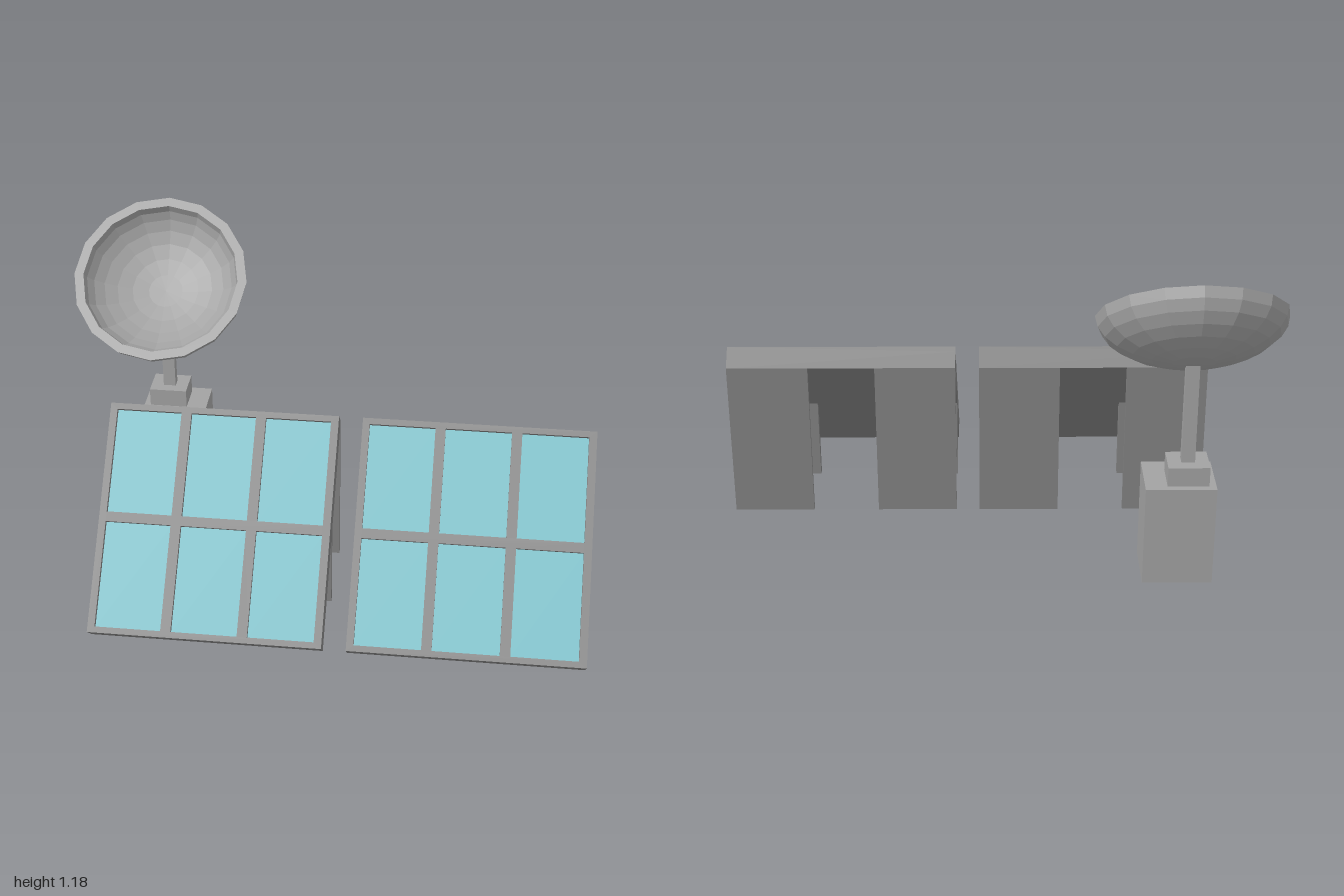
import * as THREE from 'three';

const paint = color => new THREE.MeshStandardMaterial({ color, flatShading: true });
const darkGrey = paint(0x828282);
const lightGrey = paint(0xa2a2a2);
const glass = paint(0x77bcc5);

function add(parent, name, geometry, material) {
  const mesh = new THREE.Mesh(geometry, material);
  mesh.name = name;
  parent.add(mesh);
  return mesh;
}

// Box given by its lowest and highest corner
function box(parent, name, [x0, y0, z0], [x1, y1, z1], material) {
  const geo = new THREE.BoxGeometry(x1 - x0, y1 - y0, z1 - z0);
  geo.translate((x0 + x1) / 2, (y0 + y1) / 2, (z0 + z1) / 2);
  return add(parent, name, geo, material);
}

const toPoints = list => list.map(p => new THREE.Vector2(...p));

function rectangle(Type, x0, y0, x1, y1) {
  return new Type(toPoints([[x0, y0], [x1, y0], [x1, y1], [x0, y1]]));
}

// Side outline of (z, y) points, extruded along x
function prism(parent, name, outline, x0, width, material) {
  const geo = new THREE.ExtrudeGeometry(new THREE.Shape(toPoints(outline)), { depth: width, bevelEnabled: false });
  geo.rotateY(-Math.PI / 2).translate(x0 + width, 0, 0);
  return add(parent, name, geo, material);
}

// Flat leg whose top is cut to the slope of the panel's underside
function leg(parent, name, x0, width, z0, z1) {
  const under = z => 0.59 - z;
  prism(parent, name, [[z0, 0], [z1, 0], [z1, under(z1)], [z0, under(z0)]], x0, width, darkGrey);
}

function solarPanel(x0) {
  const W = 0.848, L = 0.8485, T = 0.085, recess = 0.02, legWidth = 0.3;
  const panel = new THREE.Group();
  panel.name = 'solarPanel';

  // Sloping tray: local y runs up the slope, local z is its normal
  const tray = new THREE.Group();
  tray.name = 'panelTray';
  tray.position.set(x0, 0, 0.59);
  tray.rotation.x = -Math.PI / 4;
  panel.add(tray);
  box(tray, 'panelBack', [0, 0, 0], [W, L, T - recess], darkGrey);

  // Frame with six windows, a glass cell at the bottom of each
  const frame = rectangle(THREE.Shape, 0, 0, W, L);
  for (const x of [0.026, 0.303, 0.58]) {
    for (const y of [0.022, 0.442]) {
      const w = 0.24, h = 0.384;
      frame.holes.push(rectangle(THREE.Path, x, y, x + w, y + h));
      box(tray, 'solarCell', [x, y, T - recess - 0.005], [x + w, y + h, T - recess + 0.002], glass);
    }
  }
  const frameGeo = new THREE.ExtrudeGeometry(frame, { depth: recess, bevelEnabled: false });
  add(tray, 'panelFrame', frameGeo.translate(0, 0, T - recess), darkGrey);

  // Two tall rear legs and two short front legs
  for (const x of [x0, x0 + W - legWidth]) {
    leg(panel, 'rearLeg', x, legWidth, -0.01, 0.007);
    leg(panel, 'frontLeg', x, legWidth, 0.275, 0.305);
  }
  return panel;
}

function antenna() {
  const group = new THREE.Group();
  group.name = 'antenna';
  const cx = -0.667;

  // Equipment box, mast socket and the conduit to the panel
  box(group, 'equipmentBox', [-0.765, 0, -0.537], [-0.516, 0.378, -0.328], lightGrey);
  box(group, 'mastSocket', [cx - 0.073, 0.378, -0.512], [cx + 0.073, 0.45, -0.39], lightGrey);
  box(group, 'conduit', [-0.655, 0.008, -0.33], [-0.629, 0.034, -0.005], lightGrey);

  // Square mast, tapered front to back
  prism(group, 'mast', [[-0.469, 0.44], [-0.43, 0.44], [-0.437, 0.82], [-0.463, 0.82]], cx - 0.024, 0.048, lightGrey);

  // Dish: outer bowl up to the rim, flat lip, inner bowl back down
  const profile = [];
  const rings = 7;
  const arc = (radius, depth, t) => new THREE.Vector2(radius * Math.sin(t), -depth * Math.cos(t));
  for (let i = 0; i <= rings; i++) profile.push(arc(0.333, 0.172, (i / rings) * Math.PI / 2));
  for (let i = rings; i >= 0; i--) profile.push(arc(0.298, 0.14, (i / rings) * Math.PI / 2));
  const dish = add(group, 'dish', new THREE.LatheGeometry(profile, 16), lightGrey);
  dish.position.set(cx, 0.965, -0.3725);
  dish.rotation.x = 0.705;
  return group;
}

export function createModel() {
  const model = new THREE.Group();
  model.name = 'solarStation';
  model.add(solarPanel(-0.784), solarPanel(0.152), antenna());
  return model;
}
